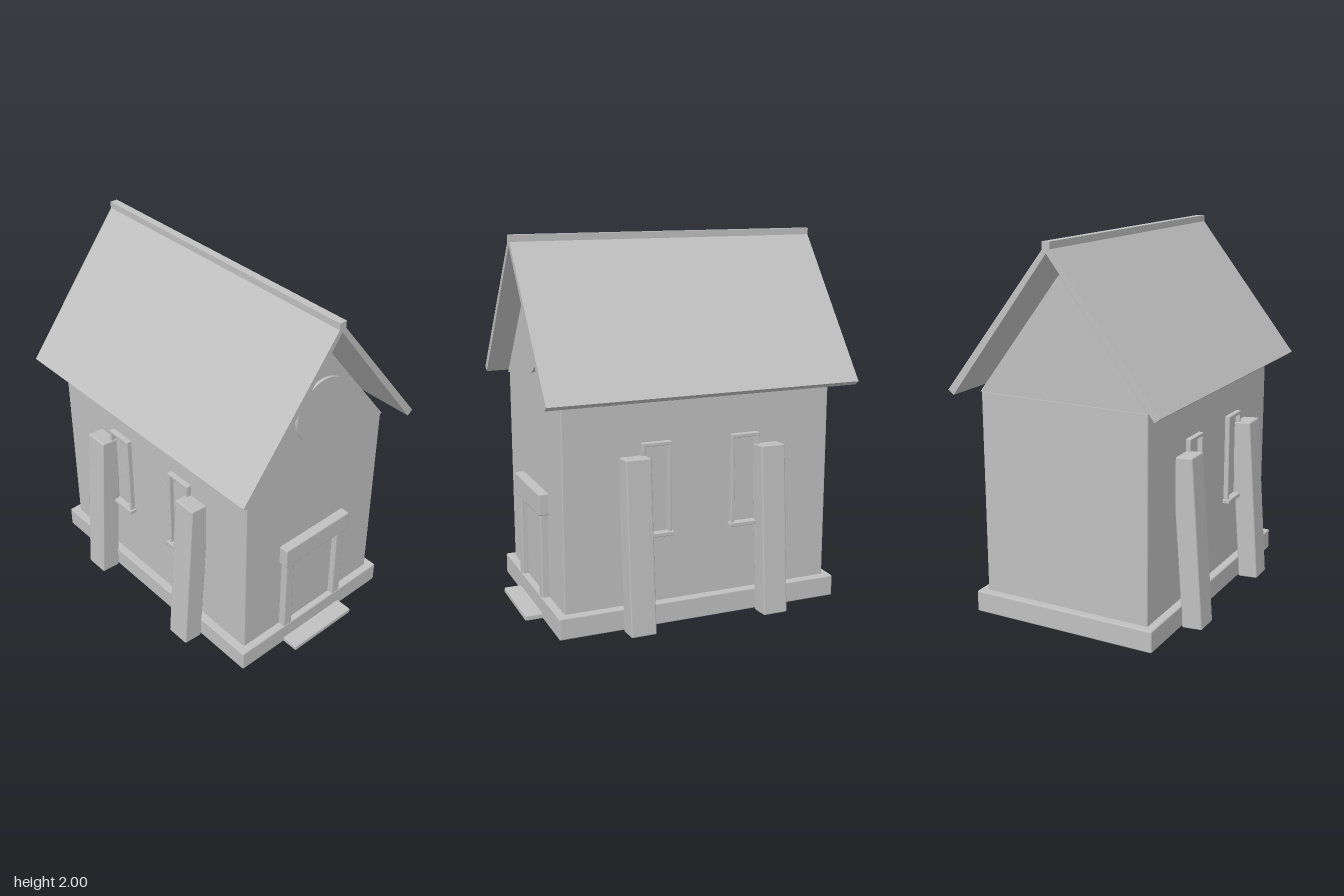
import * as THREE from 'three';
import { RoundedBoxGeometry } from 'three/addons/geometries/RoundedBoxGeometry.js';

const MID_Z = -0.0135; // centre of the building along z

export function createModel() {
  const model = new THREE.Group();
  model.name = 'chapel';
  const stone = new THREE.MeshStandardMaterial({ color: 0xc0c0c0 });
  stone.name = 'grey stone';

  const add = (name, geometry, parent = model) => {
    const mesh = new THREE.Mesh(geometry, stone);
    mesh.name = name;
    parent.add(mesh);
    return mesh;
  };

  // Softly bevelled block given by its lower and upper limits
  const block = (name, [x0, x1], [y0, y1], [z0, z1], bevel = 0.008, parent = model) => {
    const geometry = new RoundedBoxGeometry(x1 - x0, y1 - y0, z1 - z0, 1, bevel);
    const mesh = add(name, geometry, parent);
    mesh.position.set((x0 + x1) / 2, (y0 + y1) / 2, (z0 + z1) / 2);
    return mesh;
  };

  // Front outline extruded along z
  const prism = (name, points, z0, z1) => {
    const shape = new THREE.Shape(points.map(([x, y]) => new THREE.Vector2(x, y)));
    const geometry = new THREE.ExtrudeGeometry(shape, { depth: z1 - z0, bevelEnabled: false });
    geometry.translate(0, 0, z0);
    return add(name, geometry);
  };

  // Base and walls
  block('plinth', [-0.52, 0.52], [0.01, 0.127], [-0.802, 0.775]);
  block('walls', [-0.476, 0.476], [0.1, 1.215], [-0.76, 0.733]);
  prism('gable', [[-0.476, 1.213], [0.476, 1.213], [0, 1.83]], -0.767, 0.74);

  // Round gable panel
  const disc = add('roundGablePanel', new THREE.CylinderGeometry(0.177, 0.177, 0.03, 32));
  disc.rotation.x = Math.PI / 2;
  disc.position.set(0, 1.469, 0.741);

  // Roof slopes and ridge cap
  for (const s of [-1, 1]) {
    const slope = [[0, 1.945], [0, 1.99], [s * 0.598, 1.23], [s * 0.566, 1.207]];
    prism(s > 0 ? 'leftRoofSlope' : 'rightRoofSlope', slope, -0.871, 0.84);
  }
  const ridge = add('ridgeCap', new THREE.BoxGeometry(0.042, 0.035, 1.713));
  ridge.position.set(0, 1.9825, -0.0155);

  // Doorway
  block('doorstep', [-0.217, 0.217], [0.01, 0.041], [0.7, 0.869]);
  for (const s of [-1, 1]) {
    const post = block('doorPost', [-0.029, 0.029], [0.12, 0.585], [0.7, 0.773]);
    post.position.x = s * 0.188;
  }
  block('lintel', [-0.233, 0.233], [0.58, 0.697], [0.7, 0.785]);
  block('door', [-0.16, 0.16], [0.12, 0.585], [0.7, 0.741], 0.004);

  // Side windows and leaning buttresses, two on each side
  for (const side of [-1, 1]) {
    for (const end of [-1, 1]) {
      const bay = new THREE.Group();
      bay.name = 'windowBay';
      model.add(bay);

      const z = MID_Z + end * 0.249;
      const out = (a, b) => (side > 0 ? [a, b] : [-b, -a]);
      const bar = (name, x, y, zs) => block(name, x, y, zs, 0.004, bay);
      bar('windowHead', out(0.46, 0.503), [0.964, 0.983], [z - 0.08, z + 0.08]);
      bar('windowJamb', out(0.46, 0.503), [0.495, 0.975], [z - 0.08, z - 0.063]);
      bar('windowJamb', out(0.46, 0.503), [0.495, 0.975], [z + 0.063, z + 0.08]);
      bar('windowSill', out(0.46, 0.515), [0.485, 0.507], [z - 0.09, z + 0.09]);

      const buttress = add('buttress', new RoundedBoxGeometry(0.113, 0.916, 0.138, 1, 0.008));
      buttress.position.set(side * 0.543, 0.463, MID_Z + end * 0.3755);
      buttress.rotation.z = side * THREE.MathUtils.degToRad(4.2);
    }
  }
  return model;
}
